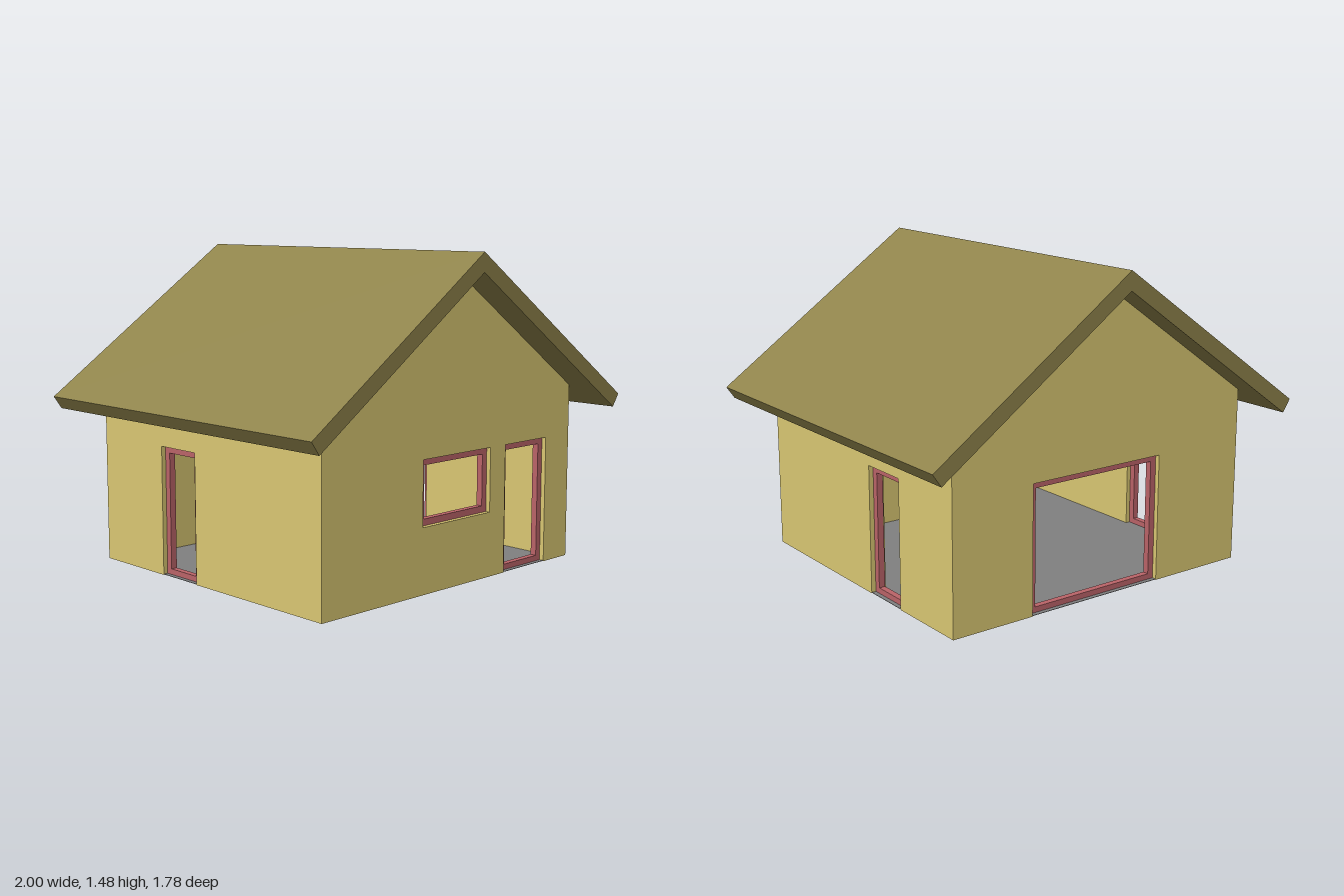
import * as THREE from 'three';

const W = 0.81, D = 0.742, T = 0.074;          // half width, half depth, wall thickness
const RIDGE = 1.48, SLOPE = 0.695, ROOF_T = 0.0715;
const UNDER = RIDGE - ROOF_T * Math.hypot(1, SLOPE); // height of the roof underside at the ridge
const FRAME = 0.03;                            // width and depth of frame members
const underside = x => UNDER - SLOPE * Math.abs(x);

const material = color => new THREE.MeshStandardMaterial({ color, side: THREE.DoubleSide });

function shapeOf(points) {
  return new THREE.Shape(points.map(p => new THREE.Vector2(...p)));
}

// Extrudes a shape, centred on z = 0
function slab(shape, depth) {
  const g = new THREE.ExtrudeGeometry(shape, { depth, bevelEnabled: false });
  return g.translate(0, 0, -depth / 2);
}

function rectPoints(x0, x1, y0, y1) {
  return [[x0, y0], [x1, y0], [x1, y1], [x0, y1]];
}

// Wall outline: openings that reach the ground are notches, the others are holes
function wallShape(x0, x1, topPoints, openings) {
  const pts = [[x0, 0]];
  const doors = openings.filter(o => o.y0 === 0).sort((a, b) => a.x0 - b.x0);
  for (const o of doors) pts.push([o.x0, 0], [o.x0, o.y1], [o.x1, o.y1], [o.x1, 0]);
  pts.push([x1, 0], ...topPoints);
  const shape = shapeOf(pts);
  for (const o of openings) {
    if (o.y0 > 0) shape.holes.push(shapeOf(rectPoints(o.x0, o.x1, o.y0, o.y1)));
  }
  return shape;
}

function frameGeometry({ x0, x1, y0, y1 }) {
  const shape = shapeOf(rectPoints(x0, x1, y0, y1));
  shape.holes.push(shapeOf(rectPoints(x0 + FRAME, x1 - FRAME, y0 + FRAME, y1 - FRAME)));
  return slab(shape, FRAME);
}

export function createModel() {
  const house = new THREE.Group();
  house.name = 'house';
  const wallMat = material(0xdac873), roofMat = material(0x8f834b);
  const frameMat = material(0xbb6469), floorMat = material(0x808080);

  const add = (name, geometry, mat) => {
    const mesh = new THREE.Mesh(geometry, mat);
    mesh.name = name;
    house.add(mesh);
    return mesh;
  };

  // Gable walls, front and back, with their frames
  const gables = [
    { side: 'front', z: D - T / 2, openings: [
      { name: 'frontWindowFrame', x0: -0.21, x1: 0.235, y0: 0.3, y1: 0.597 },
      { name: 'frontDoorFrame', x0: 0.34, x1: 0.637, y0: 0, y1: 0.597 }] },
    { side: 'back', z: -D + T / 2, openings: [
      { name: 'backWindowFrame', x0: -0.32, x1: 0.395, y0: 0, y1: 0.597 }] },
  ];
  const gableTop = [[W, underside(W)], [0, UNDER], [-W, underside(W)]];
  for (const { side, z, openings } of gables) {
    add(side + 'Wall', slab(wallShape(-W, W, gableTop, openings), T), wallMat).position.z = z;
    for (const o of openings) add(o.name, frameGeometry(o), frameMat).position.z = z;
  }

  // Side walls between the gables, drawn along -z and turned to face sideways
  const sides = [
    { side: 'left', x: W - T / 2, opening: { x0: 0.102, x1: 0.342, y0: 0, y1: 0.597 } },
    { side: 'right', x: -W + T / 2, opening: { x0: 0.07, x1: 0.31, y0: 0, y1: 0.597 } },
  ];
  const L = D - T;
  for (const { side, x, opening } of sides) {
    const wall = slab(wallShape(-L, L, [[L, 0.82], [-L, 0.82]], [opening]), T);
    const frame = frameGeometry(opening);
    for (const g of [wall, frame]) g.rotateY(Math.PI / 2).translate(x, 0, 0);
    // Slope the top of the wall to meet the roof
    const p = wall.attributes.position;
    for (let i = 0; i < p.count; i++) {
      if (p.getY(i) > 0.8) p.setY(i, underside(p.getX(i)));
    }
    wall.computeVertexNormals();
    add(side + 'Wall', wall, wallMat);
    add(side + 'DoorFrame', frame, frameMat);
  }

  // Pitched roof with square-cut eaves
  const k = ROOF_T / Math.hypot(1, SLOPE);
  const eave = RIDGE - SLOPE, inX = 1 - k * SLOPE, inY = eave - k;
  const roof = shapeOf([[0, RIDGE], [-1, eave], [-inX, inY], [0, UNDER], [inX, inY], [1, eave]]);
  add('roof', slab(roof, 1.78), roofMat);

  // Thin floor reaching the outer wall faces
  const floor = new THREE.BoxGeometry(2 * W - 0.002, 0.002, 2 * D - 0.002);
  add('floor', floor.translate(0, 0.003, 0), floorMat);

  return house;
}
